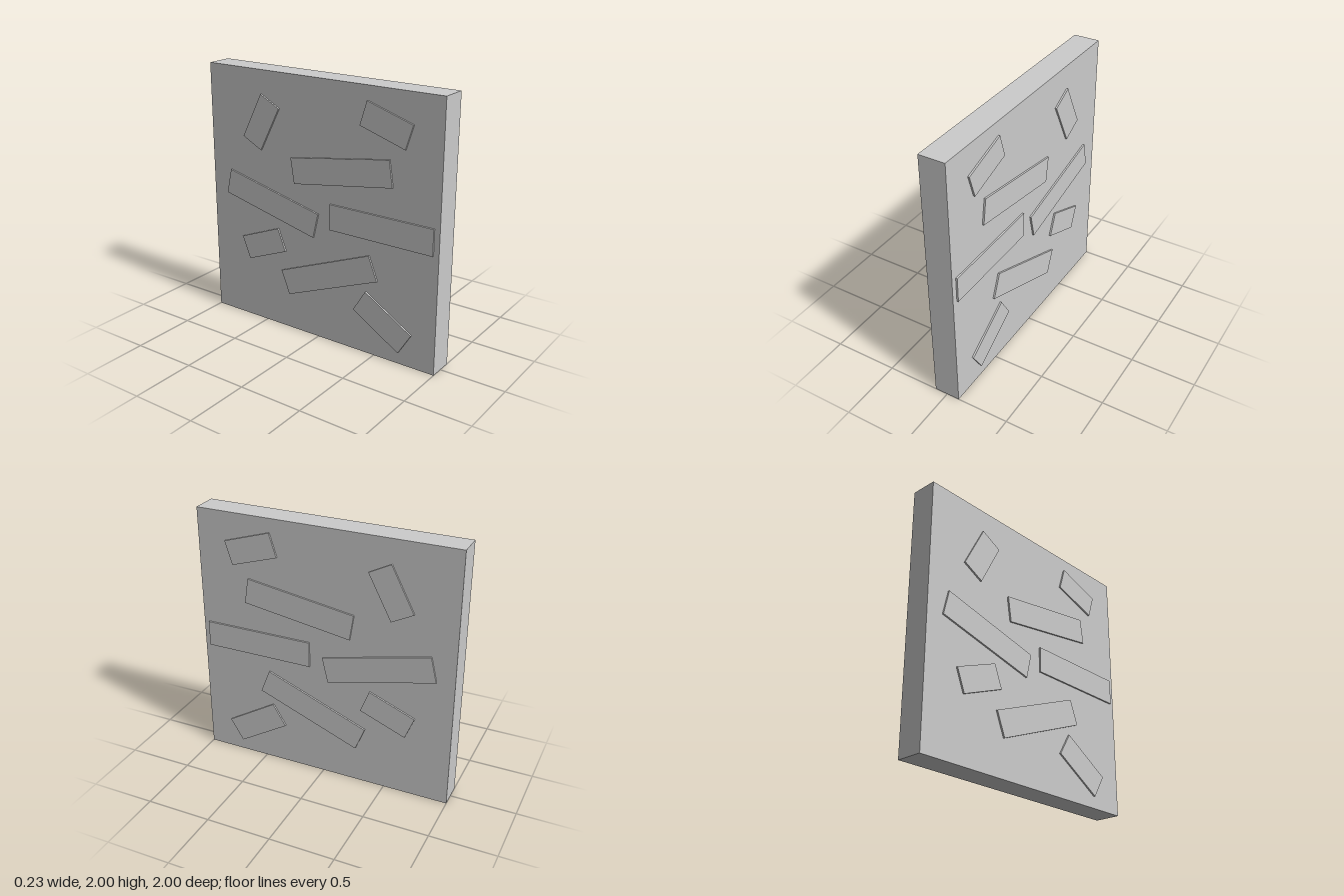
import * as THREE from 'three';

export function createModel() {
  const group = new THREE.Group();
  const material = new THREE.MeshStandardMaterial({ color: 0xcccccc, flatShading: true });

  // Upright square slab
  const wall = new THREE.Mesh(new THREE.BoxGeometry(0.2, 2, 2), material);
  wall.name = 'wall';
  wall.position.y = 1;
  group.add(wall);

  // Tilted bricks passing through the wall, standing slightly proud on both faces
  // z, y, length, height, tilt in degrees
  const bricks = [
    [0.567, 1.75, 0.38, 0.186, 17.6],
    [-0.512, 1.609, 0.38, 0.186, -62.7],
    [0.195, 1.354, 0.848, 0.197, -8.7],
    [0.534, 1.0, 0.848, 0.197, 0],
    [-0.43, 1.0, 0.848, 0.197, 13.2],
    [0.09, 0.534, 0.848, 0.197, -21.6],
    [-0.512, 0.648, 0.38, 0.186, -21.7],
    [0.567, 0.292, 0.455, 0.197, 31.4],
  ];
  bricks.forEach(([z, y, length, height, tilt], i) => {
    const brick = new THREE.Mesh(new THREE.BoxGeometry(0.226, height, length), material);
    brick.name = `brick${i + 1}`;
    brick.position.set(0, y, z);
    brick.rotation.x = THREE.MathUtils.degToRad(tilt);
    group.add(brick);
  });

  return group;
}
